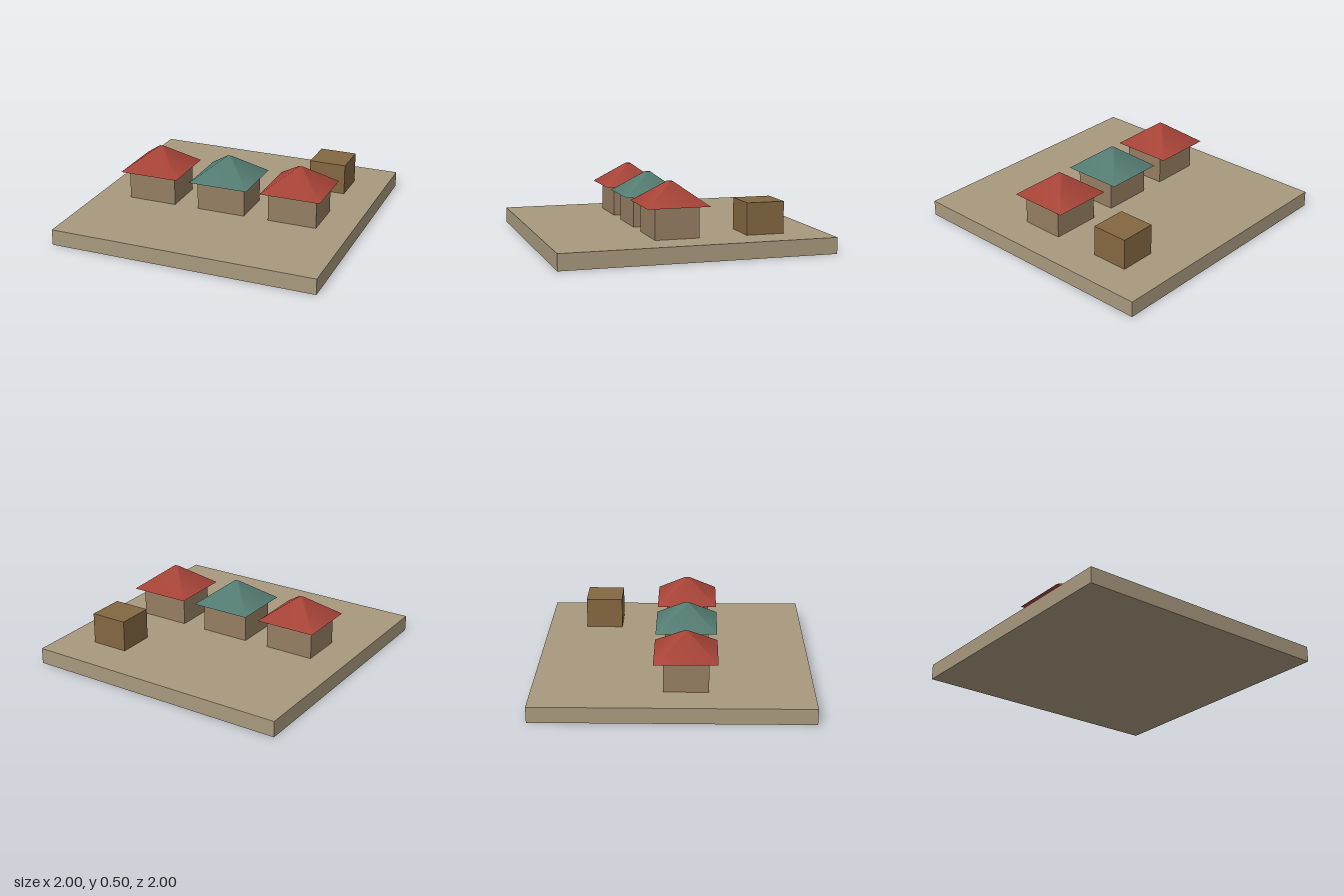
import * as THREE from 'three';

const GROUND = 0.118;
const material = (color) => new THREE.MeshStandardMaterial({ color });
const ground = material(0xa8997e);
const wall = material(0x957e62);
const crateWood = material(0x836741);
const redTile = material(0xa84438);
const greenTile = material(0x547d73);

// Box standing with its underside at y
function box(name, w, h, d, x, y, z, mat) {
  const mesh = new THREE.Mesh(new THREE.BoxGeometry(w, h, d), mat);
  mesh.name = name;
  mesh.position.set(x, y + h / 2, z);
  return mesh;
}

// House: plain walls under a smooth-shaded, four-sided roof with a blunt tip
function house(name, x, roofMaterial) {
  const group = new THREE.Group();
  group.name = name;
  const wallHeight = 0.224, roofHeight = 0.161;
  group.add(box('walls', 0.37, wallHeight, 0.322, 0, 0, 0.003, wall));

  const roofGeometry = new THREE.CylinderGeometry(0.017 * Math.SQRT2, 0.227 * Math.SQRT2, roofHeight, 4);
  roofGeometry.rotateY(Math.PI / 4);
  const roof = new THREE.Mesh(roofGeometry, roofMaterial);
  roof.name = 'roof';
  roof.position.y = wallHeight + roofHeight / 2;
  group.add(roof);

  group.position.set(x, GROUND, 0.093);
  return group;
}

export function createModel() {
  const model = new THREE.Group();
  model.name = 'village';

  // Square slab of ground
  model.add(box('ground', 2, GROUND, 2, 0, 0, 0, ground));

  // Row of three houses
  model.add(house('rightHouse', -0.558, redTile));
  model.add(house('middleHouse', 0, greenTile));
  model.add(house('leftHouse', 0.558, redTile));

  // Wooden crate behind the houses
  model.add(box('crate', 0.279, 0.232, 0.279, 0.602, GROUND, -0.56, crateWood));

  return model;
}
